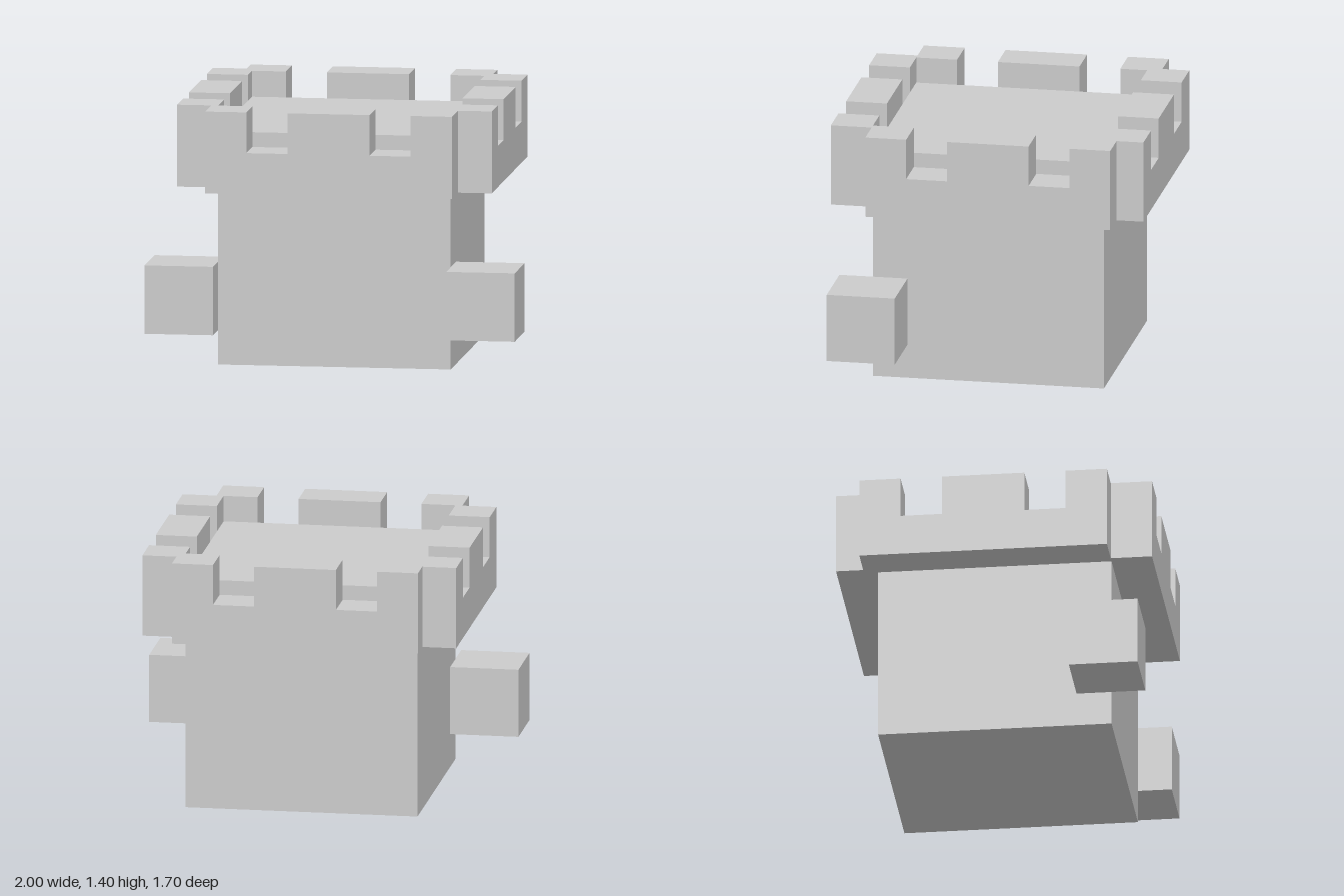
import * as THREE from 'three';

const material = new THREE.MeshStandardMaterial({ color: 0xcccccc, flatShading: true });

const INNER = 0.628;      // distance from centre to the inside of a wall
const THICK = 0.222;      // wall thickness
const BOTTOM = 0.957, NOTCH = 1.18, TOP = 1.4;

// Parapet profile: a symmetric wall with two square notches
function parapetGeometry() {
  const half = [[0.666, BOTTOM], [0.666, TOP], [0.444, TOP], [0.444, NOTCH], [0.222, NOTCH], [0.222, TOP]];
  const mirrored = half.map(([x, y]) => [-x, y]).reverse();
  const shape = new THREE.Shape([...half, ...mirrored].map(([x, y]) => new THREE.Vector2(x, y)));
  return new THREE.ExtrudeGeometry(shape, { depth: THICK, bevelEnabled: false }).translate(0, 0, INNER);
}

function addBox(parent, name, size, position) {
  const mesh = new THREE.Mesh(new THREE.BoxGeometry(...size), material);
  mesh.name = name;
  mesh.position.set(...position);
  parent.add(mesh);
}

export function createModel() {
  const model = new THREE.Group();
  model.name = 'castleTower';

  // Tower block, its top forms the roof floor
  addBox(model, 'towerBody', [1.256, 1.26, 1.256], [0, 0.63, 0]);

  // Four parapet walls; the side walls sit slightly towards the back
  const wall = parapetGeometry();
  const battlements = new THREE.Group();
  battlements.name = 'battlements';
  ['frontParapet', 'leftParapet', 'backParapet', 'rightParapet'].forEach((name, i) => {
    const mesh = new THREE.Mesh(wall, material);
    mesh.name = name;
    mesh.rotation.y = i * Math.PI / 2;
    mesh.position.z = i % 2 ? -0.038 : 0;
    battlements.add(mesh);
  });
  model.add(battlements);

  // Cube hands at the front corners
  for (const side of [1, -1]) {
    addBox(model, side > 0 ? 'leftHand' : 'rightHand', [0.37, 0.37, 0.37], [side * 0.815, 0.37, 0.625]);
  }

  return model;
}
